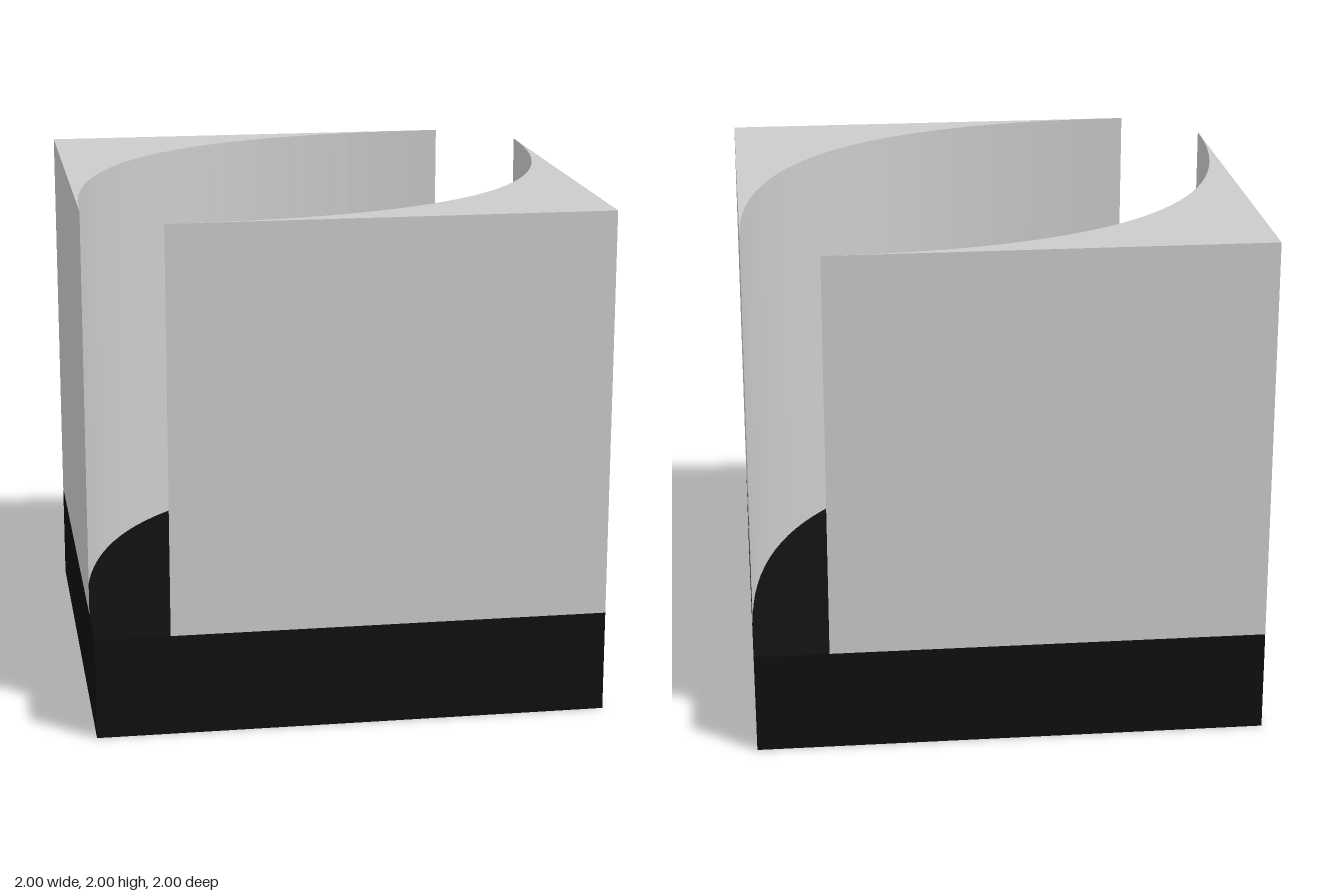
import * as THREE from 'three';

const BASE_HEIGHT = 0.4;
const TOTAL_HEIGHT = 2;
const CURVE_END = -0.71; // where the hollow face meets the outer sides

// Square corner block with a concave inner face, standing at +x, +z
function cornerBlockGeometry() {
  const shape = new THREE.Shape();
  shape.moveTo(1, -1);
  shape.lineTo(1, -CURVE_END);
  shape.quadraticCurveTo(1, -1, CURVE_END, -1);
  shape.closePath();
  const geometry = new THREE.ExtrudeGeometry(shape, {
    depth: TOTAL_HEIGHT - BASE_HEIGHT,
    bevelEnabled: false,
    curveSegments: 32,
  });
  geometry.rotateX(-Math.PI / 2);
  geometry.translate(0, BASE_HEIGHT, 0);
  return geometry;
}

export function createModel() {
  const model = new THREE.Group();
  const grey = new THREE.MeshStandardMaterial({ color: 0xcccccc });
  const black = new THREE.MeshStandardMaterial({ color: 0x0f0f0f });

  // Square plinth
  const base = new THREE.Mesh(new THREE.BoxGeometry(2, BASE_HEIGHT, 2), black);
  base.name = 'base';
  base.position.y = BASE_HEIGHT / 2;
  model.add(base);

  // Two matching blocks at opposite corners
  const geometry = cornerBlockGeometry();
  ['frontCornerBlock', 'backCornerBlock'].forEach((name, i) => {
    const block = new THREE.Mesh(geometry, grey);
    block.name = name;
    block.rotation.y = i * Math.PI;
    model.add(block);
  });

  return model;
}
